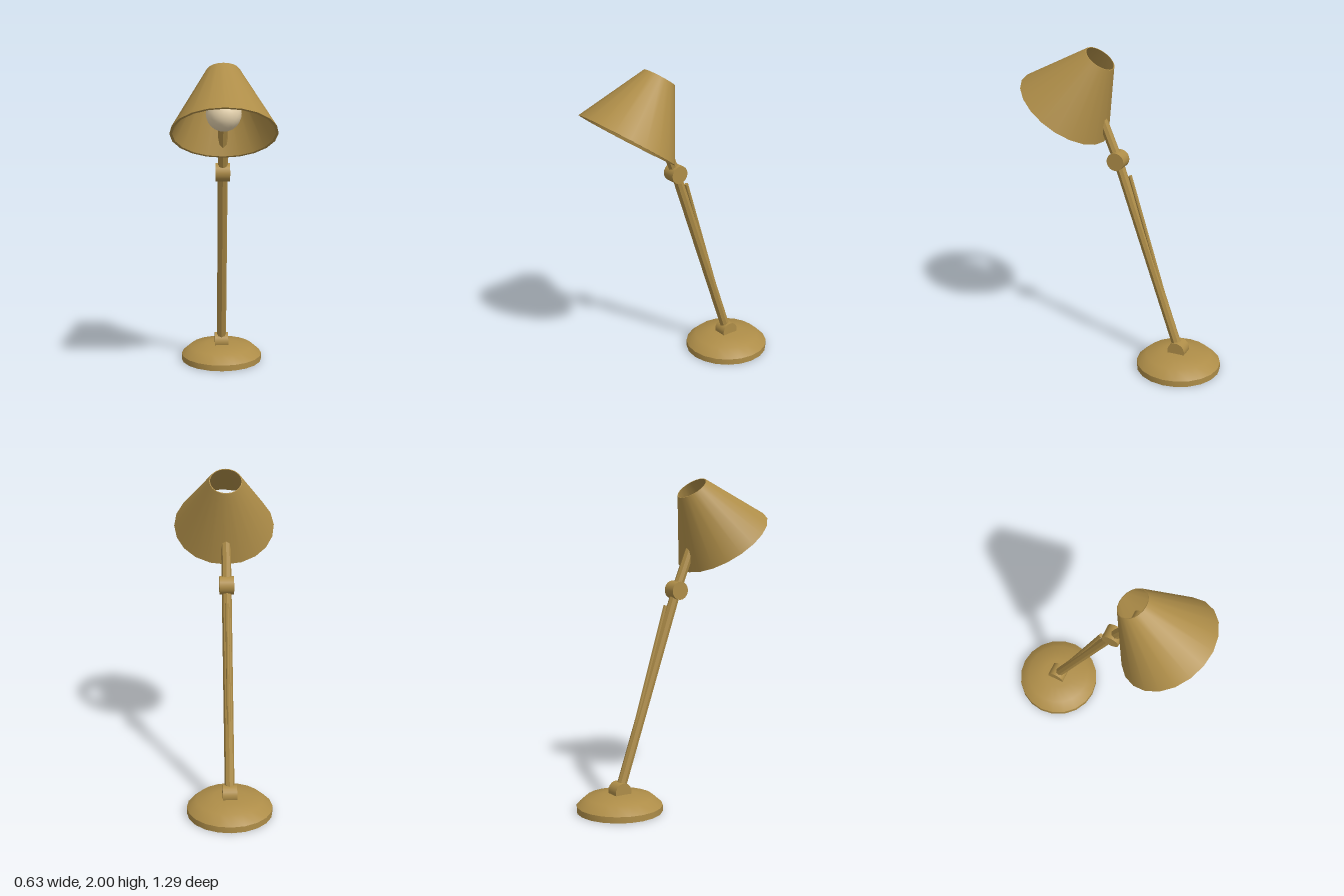
import * as THREE from 'three';
import { toCreasedNormals } from 'three/addons/utils/BufferGeometryUtils.js';

export function createModel() {
  const lamp = new THREE.Group();
  lamp.name = 'deskLamp';
  const brass = new THREE.MeshStandardMaterial({ color: 0xae8d48 });
  brass.name = 'brass';
  const glass = new THREE.MeshStandardMaterial({ color: 0xe8d5b0 });
  glass.name = 'warmGlass';

  const add = (name, geometry, material = brass) => {
    const mesh = new THREE.Mesh(geometry, material);
    mesh.name = name;
    lamp.add(mesh);
    return mesh;
  };
  const lathe = (profile, segments) => toCreasedNormals(
    new THREE.LatheGeometry(profile.map(([r, y]) => new THREE.Vector2(r, y)), segments), 0.6);

  // Rod between two points of the x = 0 plane, given as [y, z]
  const rod = (name, [y0, z0], [y1, z1], radius) => {
    const length = Math.hypot(y1 - y0, z1 - z0);
    const geometry = toCreasedNormals(new THREE.CylinderGeometry(radius, radius, length, 8), 0.6);
    const mesh = add(name, geometry);
    mesh.position.set(0, (y0 + y1) / 2, (z0 + z1) / 2);
    mesh.rotation.x = Math.atan2(z1 - z0, y1 - y0);
  };

  // Hinge barrel lying along x
  const hinge = (name, [y, z]) => {
    const mesh = add(name, new THREE.CylinderGeometry(0.056, 0.056, 0.088, 20));
    mesh.rotation.z = Math.PI / 2;
    mesh.position.set(0, y, z);
  };

  // Weighted round base
  const base = add('base', lathe(
    [[0, 0], [0.263, 0], [0.263, 0.038], [0.205, 0.09], [0.1, 0.106], [0, 0.11]], 20));
  base.position.z = -0.382;

  // Joints and arms
  const foot = [0.123, -0.38];
  const elbow = [1.325, 0.035];
  const head = [1.72, 0.2];
  hinge('baseHinge', foot);
  hinge('elbowHinge', elbow);
  hinge('headHinge', head);
  rod('lowerArm', foot, elbow, 0.03);
  rod('upperArm', elbow, head, 0.03);
  rod('springRod', [0.355, -0.315], [1.236, -0.045], 0.012);

  // Open conical shade with a thin wall, tilted forward
  const shade = add('shade', lathe(
    [[0.297, 0], [0.313, 0], [0.1, 0.408], [0.095, 0.408], [0.297, 0]], 20));
  shade.position.set(0, 1.61, 0.385);
  shade.rotation.x = -0.615;

  // Light bulb on the shade axis
  const bulb = add('bulb', new THREE.SphereGeometry(0.104, 20, 14), glass);
  bulb.position.set(0, 1.715, 0.305);
  bulb.rotation.x = -0.615;

  return lamp;
}
